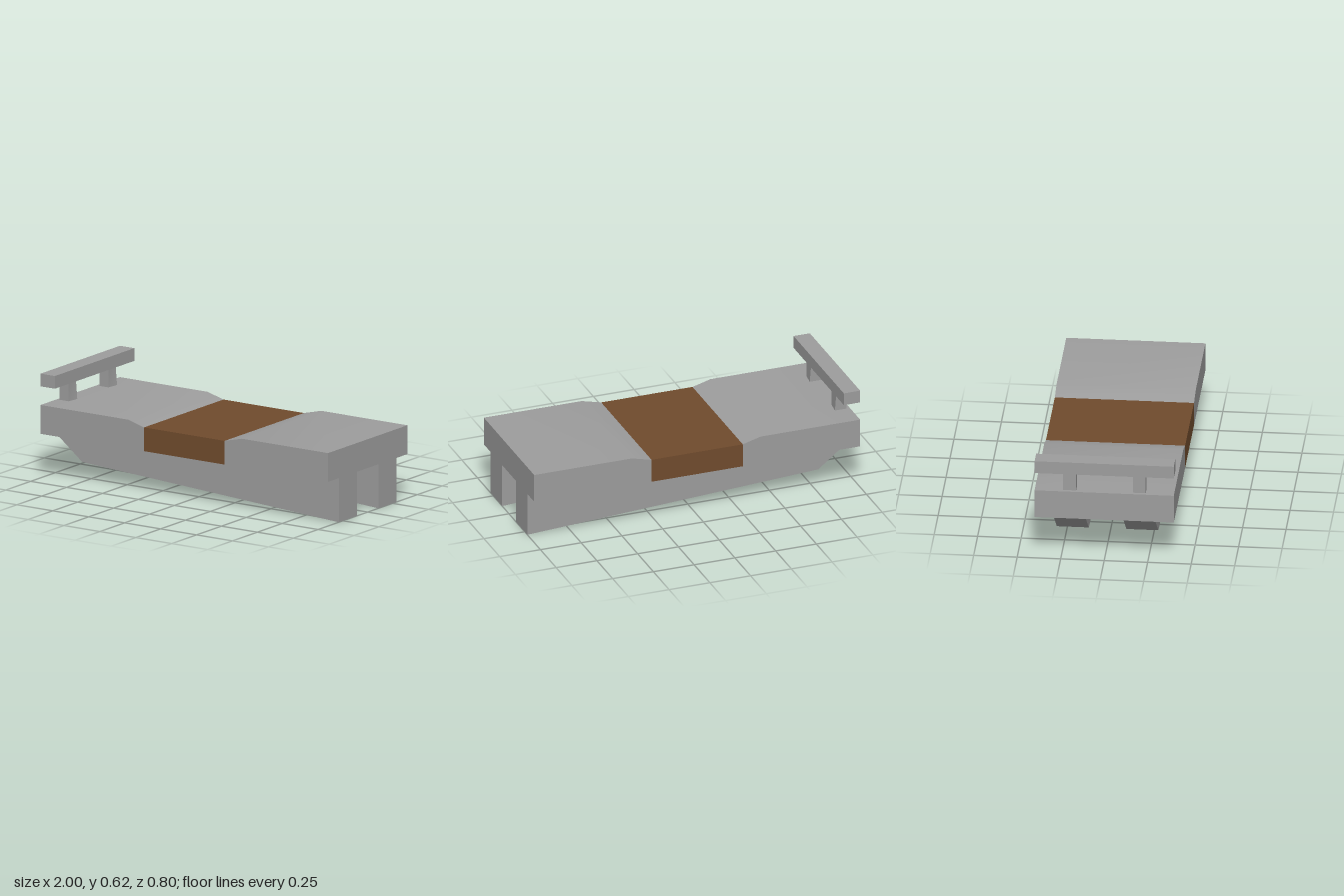
import * as THREE from 'three';
import { toCreasedNormals } from 'three/addons/utils/BufferGeometryUtils.js';

const grey = new THREE.MeshStandardMaterial({ color: 0x9d9d9d });
const brown = new THREE.MeshStandardMaterial({ color: 0x704b2d });
const base = 0.26, high = 0.43, low = 0.4, mid = 0.28;

// Side profile in x/y, extruded across z and centred on the given z;
// flare pushes the inner back foot of the part outwards along x
function slab(name, points, width, { z = 0, material = grey, flare = 0 } = {}) {
  const shape = new THREE.Shape(points.map(([x, y]) => new THREE.Vector2(x, y)));
  const geometry = new THREE.ExtrudeGeometry(shape, { depth: width, bevelEnabled: false });
  const p = geometry.attributes.position;
  const [footX, footY] = points[1];
  for (let i = 0; i < p.count; i++) {
    const isFoot = Math.abs(p.getX(i) - footX) + Math.abs(p.getY(i) - footY) + p.getZ(i) < 1e-4;
    if (isFoot) p.setX(i, footX + flare);
  }
  geometry.translate(0, 0, z - width / 2);
  const mesh = new THREE.Mesh(toCreasedNormals(geometry, 0.5), material);
  mesh.name = name;
  return mesh;
}

export function createModel() {
  const group = new THREE.Group();
  group.name = 'sled';

  // Deck: two raised ends sloping softly down to a lower brown middle section
  group.add(
    slab('rearDeck', [[-1, base], [-mid, base], [-mid, low], [-0.39, high], [-1, high]], 0.8),
    slab('seat', [[-mid, base], [mid, base], [mid, low], [-mid, low]], 0.8, { material: brown }),
    slab('frontDeck', [[mid, base], [1, base], [1, high], [0.4, high], [mid, low]], 0.8)
  );

  for (const [side, s] of [['left', 1], ['right', -1]]) {
    // Wedge-shaped runner under the deck
    group.add(slab(side + 'Runner', [[-0.985, base], [-0.785, 0.102], [1, 0], [1, base]], 0.184, { z: s * 0.2 }));
    // Handle post, flared at one corner of its foot
    const post = [[-0.98, high], [-0.917, high], [-0.917, 0.54], [-0.98, 0.54]];
    group.add(slab(side + 'Post', post, 0.074, { z: s * 0.2, flare: 0.009 }));
  }

  // Handle bar across the end
  group.add(slab('handleBar', [[-1, 0.54], [-0.9, 0.54], [-0.9, 0.615], [-1, 0.615]], 0.8));

  return group;
}
